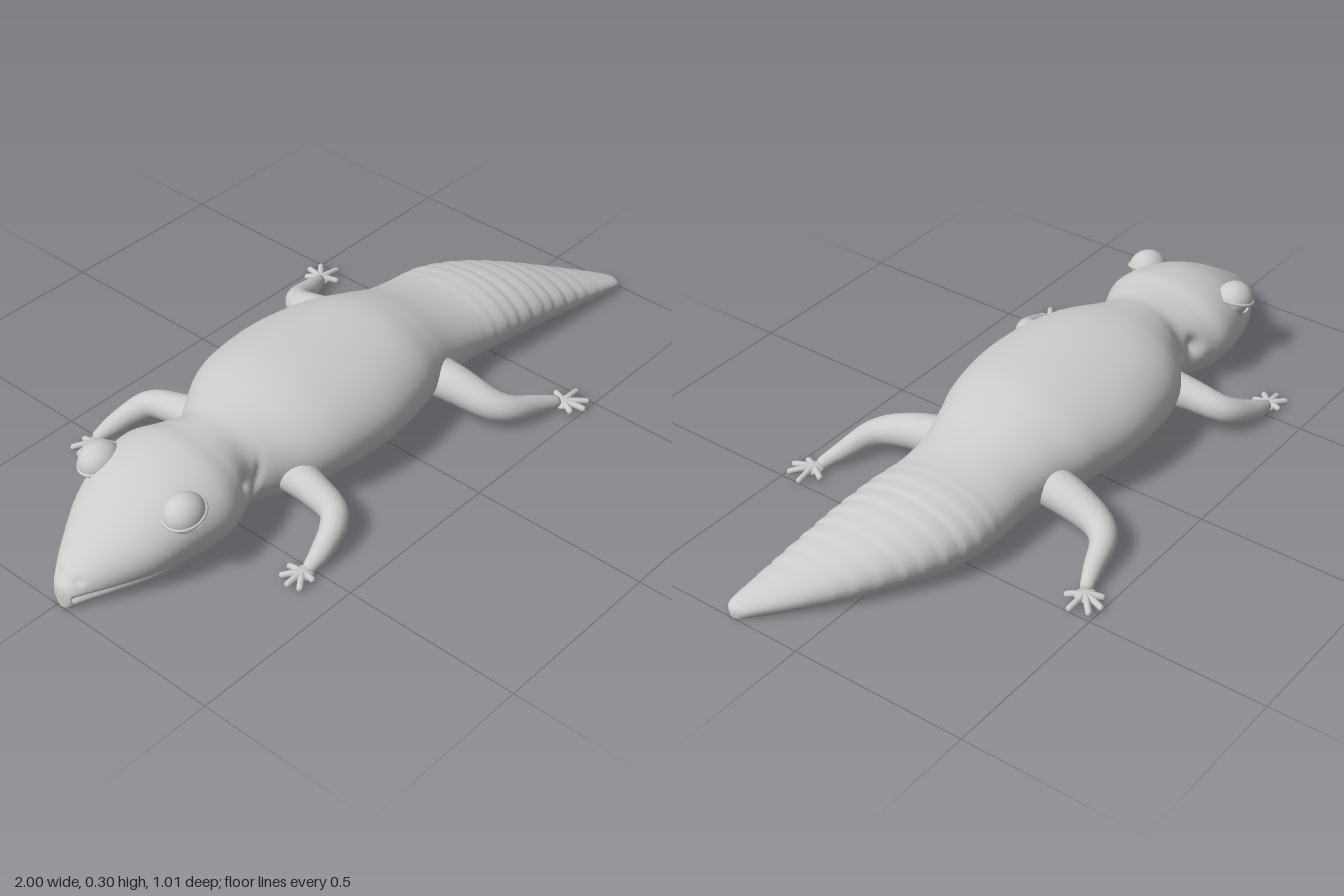
import * as THREE from 'three';
import { mergeVertices } from 'three/addons/utils/BufferGeometryUtils.js';

const skin = new THREE.MeshStandardMaterial({ color: 0xcccccc, side: THREE.DoubleSide });
skin.name = 'pale grey skin';

function add(parent, name, geometry) {
  const mesh = new THREE.Mesh(geometry, skin);
  mesh.name = name;
  parent.add(mesh);
  return mesh;
}

// Body stations, head to tail: x, z min, z max, y top
const stations = [
  [-1, 0.015, 0.015, 0.04], [-0.99, -0.02, 0.045, 0.068], [-0.95, -0.055, 0.07, 0.102],
  [-0.9, -0.09, 0.10, 0.137], [-0.8, -0.15, 0.155, 0.2], [-0.7, -0.185, 0.185, 0.245],
  [-0.6, -0.2, 0.2, 0.262], [-0.53, -0.172, 0.178, 0.257], [-0.46, -0.138, 0.145, 0.255],
  [-0.4, -0.17, 0.17, 0.266], [-0.3, -0.232, 0.23, 0.288], [-0.2, -0.26, 0.258, 0.298],
  [-0.05, -0.269, 0.267, 0.297], [0.1, -0.24, 0.242, 0.288], [0.2, -0.205, 0.208, 0.264],
  [0.3, -0.183, 0.182, 0.23], [0.4, -0.181, 0.178, 0.207], [0.5, -0.175, 0.192, 0.198],
  [0.6, -0.14, 0.203, 0.179], [0.7, -0.08, 0.212, 0.15], [0.8, -0.005, 0.222, 0.112],
  [0.9, 0.083, 0.23, 0.073], [0.97, 0.153, 0.235, 0.045], [0.992, 0.18, 0.225, 0.033], [1, 0.205, 0.205, 0.018],
];

const bell = (v, width) => Math.exp(-((v / width) ** 2));

// Depth of skin folds: mouth line, ear hole, neck folds, nostrils and tail rings
function fold(x, y, up) {
  let d = 0;
  if (x > -0.99 && x < -0.54) {
    const mouth = 0.036 + 0.045 * (x + 0.95) - 0.03 * Math.max(0, (x + 0.6) / 0.05) ** 2;
    d += 0.014 * bell(y - mouth, 0.008) * Math.min(1, (-0.54 - x) / 0.03);
  }
  d += 0.025 * bell(x + 0.5, 0.018) * bell(y - 0.14, 0.028);
  d += 0.012 * bell(x + 0.45 - 0.3 * (y - 0.12), 0.01) * bell(y - 0.12, 0.05);
  d += 0.008 * bell(x + 0.965, 0.008) * bell(y - 0.08, 0.008);
  if (x > 0.37 && x < 0.93) {
    const phase = ((x - 0.37) / 0.047) % 1;
    d += 0.006 * (1 - phase) ** 2 * Math.min(1, (x - 0.37) * 5, (0.93 - x) * 8) * Math.max(0, Math.min(1, up * 2 + 0.6));
  }
  return d;
}

function bodyGeometry() {
  const sides = new THREE.CatmullRomCurve3(stations.map(s => new THREE.Vector3(s[0], s[1], s[2])), false, 'catmullrom');
  const tops = new THREE.CatmullRomCurve3(stations.map(s => new THREE.Vector3(s[0], s[3], 0)), false, 'catmullrom');
  const rows = 288, n = 112, pos = [], index = [];
  for (let i = 0; i <= rows; i++) {
    const p = sides.getPoint(i / rows), top = tops.getPoint(i / rows).y;
    const zc = (p.y + p.z) / 2, hw = Math.max(0, (p.z - p.y) / 2);
    const yc = 0.004 + 0.46 * top;
    // the underside runs below the ground and is flattened there
    const low = yc + Math.min(0.022, hw * 0.12);
    for (let j = 0; j < n; j++) {
      const a = (j / n) * Math.PI * 2, c = Math.cos(a), s = Math.sin(a);
      const h = s > 0 ? top - yc : low;
      const k = hw > 0.01 ? 1 - Math.min(0.3, fold(p.x, yc + s * h, s) / hw) : 1;
      pos.push(p.x, Math.max(0.004, yc + s * h * k), zc + c * hw * k);
      if (i < rows) {
        const b = i * n + j, d = i * n + (j + 1) % n;
        index.push(b, b + n, d, d, b + n, d + n);
      }
    }
  }
  const g = new THREE.BufferGeometry();
  g.setAttribute('position', new THREE.Float32BufferAttribute(pos, 3));
  g.setIndex(index);
  g.computeVertexNormals();
  return g;
}

// Tapered tube with a rounded far end; points are [x, y, z, radius]
function limb(points, segs = 40, around = 20) {
  const path = new THREE.CatmullRomCurve3(points.map(p => new THREE.Vector3(p[0], p[1], p[2])));
  let g = new THREE.TubeGeometry(path, segs, 1, around);
  const length = path.getLength(), pos = g.attributes.position, v = new THREE.Vector3();
  for (let i = 0; i <= segs; i++) {
    const u = i / segs, c = path.getPointAt(u);
    const t = path.getUtoTmapping(u) * (points.length - 1), k = Math.min(points.length - 2, Math.floor(t));
    let r = THREE.MathUtils.lerp(points[k][3], points[k + 1][3], t - k);
    const left = (1 - u) * length;
    if (left < r) r = Math.sqrt(Math.max(0, r * r - (r - left) ** 2));
    for (let j = 0; j <= around; j++) {
      const m = i * (around + 1) + j;
      v.fromBufferAttribute(pos, m).sub(c).multiplyScalar(r).add(c);
      pos.setXYZ(m, v.x, Math.max(0.003, v.y), v.z);
    }
  }
  g.deleteAttribute('uv');
  g.deleteAttribute('normal');
  g = mergeVertices(g, 1e-5);
  g.computeVertexNormals();
  return g;
}

function leg(name, side, bones, palm, toes) {
  const group = new THREE.Group();
  group.name = name;
  const flip = p => [p[0], p[1], p[2] * side, p[3]];
  add(group, 'limb', limb(bones.map(flip)));
  const pad = add(group, 'palm', new THREE.SphereGeometry(1, 20, 12));
  pad.scale.set(0.03, 0.011, 0.027);
  pad.position.set(palm[0], 0.014, palm[1] * side);
  for (const [x, z] of toes) {
    const mx = (palm[0] + x) / 2, mz = (palm[1] + z) / 2;
    add(group, 'toe', limb([[palm[0], 0.015, palm[1], 0.011], [mx, 0.016, mz, 0.009], [x, 0.011, z, 0.0085]].map(flip), 18, 10));
  }
  return group;
}

function eye(side) {
  const group = new THREE.Group();
  group.name = side > 0 ? 'leftEye' : 'rightEye';
  add(group, 'eyeball', new THREE.SphereGeometry(0.043, 28, 20));
  // lids are caps of a larger sphere with a slit between them
  const upper = add(group, 'upperLid', new THREE.SphereGeometry(0.053, 32, 14, 0, Math.PI * 2, 0, Math.PI * 0.46));
  upper.rotation.set(side * 0.12, 0, 0.3);
  const lower = add(group, 'lowerLid', new THREE.SphereGeometry(0.049, 32, 14, 0, Math.PI * 2, Math.PI * 0.64, Math.PI * 0.36));
  lower.rotation.set(side * 0.1, 0, 0.1);
  const rim = add(upper, 'lidRim', new THREE.TorusGeometry(0.052, 0.005, 8, 36));
  rim.rotation.x = Math.PI / 2;
  rim.position.y = 0.007;
  group.position.set(-0.705, 0.188, side * 0.148);
  group.scale.set(1.1, 1, 1);
  return group;
}

export function createModel() {
  const model = new THREE.Group();
  model.name = 'lizard';
  add(model, 'bodyHeadAndTail', bodyGeometry());

  const foreBones = [[-0.34, 0.1, 0.14, 0.055], [-0.35, 0.092, 0.24, 0.044], [-0.365, 0.075, 0.325, 0.037],
    [-0.395, 0.06, 0.35, 0.035], [-0.47, 0.033, 0.373, 0.027], [-0.53, 0.018, 0.38, 0.015]];
  const foreToes = [[-0.535, 0.415], [-0.585, 0.41], [-0.595, 0.372], [-0.578, 0.335], [-0.535, 0.325]];
  const hindBones = [[0.21, 0.1, 0.13, 0.06], [0.222, 0.092, 0.24, 0.053], [0.243, 0.068, 0.345, 0.042],
    [0.275, 0.056, 0.382, 0.036], [0.36, 0.035, 0.412, 0.026], [0.43, 0.018, 0.437, 0.016]];
  const hindToes = [[0.412, 0.487], [0.452, 0.507], [0.49, 0.492], [0.508, 0.438], [0.462, 0.395]];

  for (const side of [1, -1]) {
    const word = side > 0 ? 'left' : 'right';
    model.add(leg(word + 'FrontLeg', side, foreBones, [-0.535, 0.375], foreToes));
    model.add(leg(word + 'HindLeg', side, hindBones, [0.435, 0.442], hindToes));
    model.add(eye(side));
  }
  return model;
}
